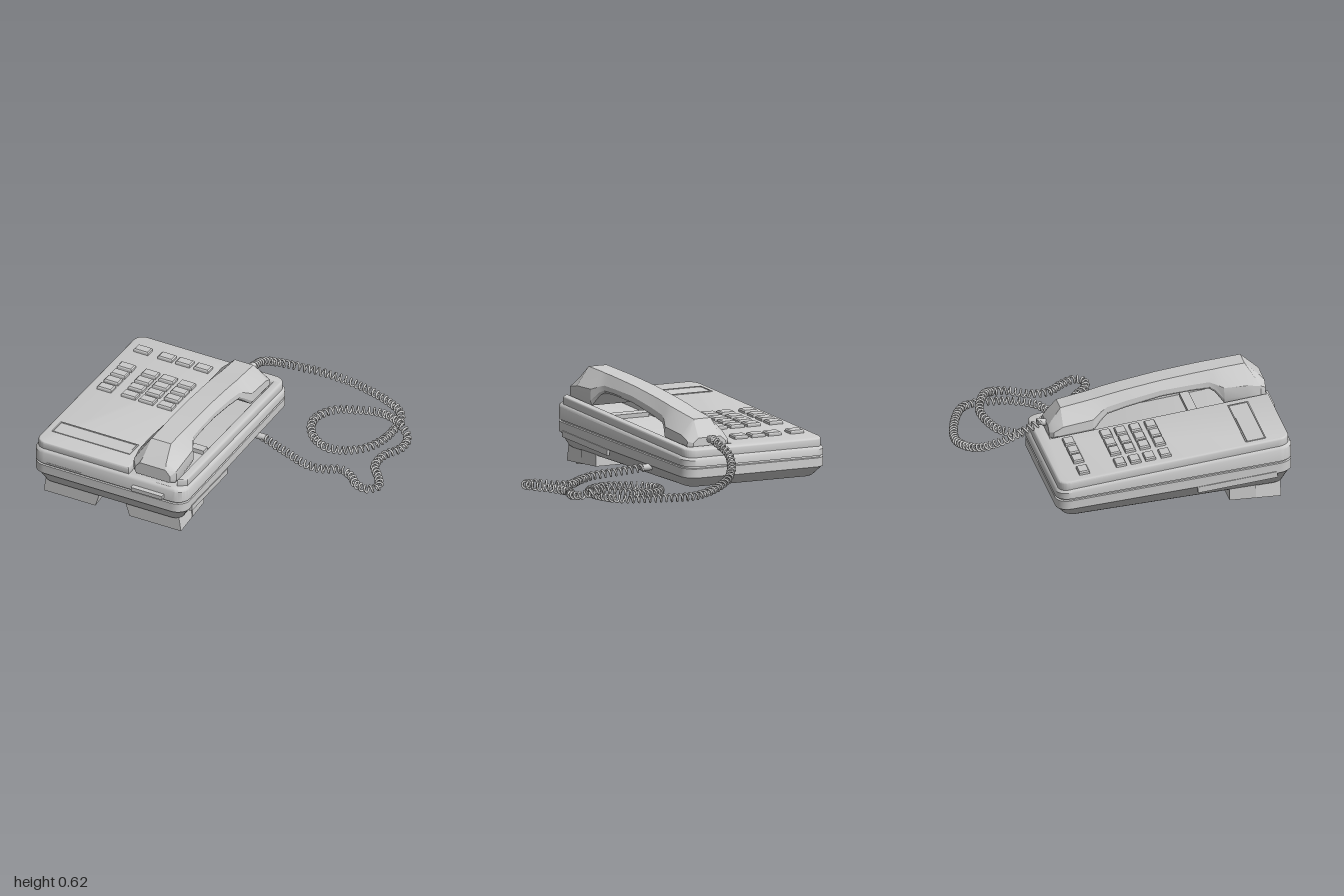
import * as THREE from 'three';
import { toCreasedNormals } from 'three/addons/utils/BufferGeometryUtils.js';

const SLOPE = 0.127;
const topY = (z) => 0.327 + SLOPE * z; // sloping top surface
const TILT = -Math.atan(SLOPE);
const CX = -0.45, CZ = 0.19; // centre of the body
const HX = -0.145; // centre line of the handset

export function createModel() {
  const model = new THREE.Group();
  const mat = new THREE.MeshStandardMaterial({ color: 0xcccccc });

  function add(name, geo, x = 0, y = 0, z = 0, rx = 0) {
    const mesh = new THREE.Mesh(geo, mat);
    mesh.name = name;
    mesh.position.set(x, y, z);
    mesh.rotation.x = rx;
    model.add(mesh);
    return mesh;
  }
  const box = (name, w, h, d, x, y, z, rx = 0) => add(name, new THREE.BoxGeometry(w, h, d), x, y, z, rx);

  // Skin over equal-sized rings, with flat caps at both ends
  function loft(rings, crease = 0.6) {
    const n = rings[0].length, idx = [];
    rings.slice(1).forEach((_, i) => {
      for (let j = 0; j < n; j++) {
        const a = i * n + j, b = i * n + (j + 1) % n;
        idx.push(a, b, b + n, a, b + n, a + n);
      }
    });
    const last = (rings.length - 1) * n;
    for (let j = 1; j < n - 1; j++) idx.push(0, j + 1, j, last, last + j, last + j + 1);
    const geo = new THREE.BufferGeometry();
    geo.setAttribute('position', new THREE.Float32BufferAttribute(rings.flat(2), 3));
    geo.setIndex(idx);
    return toCreasedNormals(geo, crease);
  }

  // Body shell: rounded rectangles, sloping from front to back
  function bodyRing([inset, yFront, yBack]) {
    const r = 0.09 - inset * 0.5, hx = 0.54 - inset - r, hz = 0.765 - inset - r, pts = [];
    [[1, 1], [1, -1], [-1, -1], [-1, 1]].forEach(([sx, sz], q) => {
      for (let k = 0; k <= 6; k++) {
        const a = (q + k / 6) * Math.PI / 2;
        const x = CX + sx * hx + r * Math.sin(a), z = CZ + sz * hz + r * Math.cos(a);
        pts.push([x, THREE.MathUtils.lerp(yBack, yFront, (z + 0.575) / 1.53), z]);
      }
    });
    return pts;
  }
  add('body', loft([
    [0.07, 0.115, 0.005], [0.055, 0.125, 0.015], [0.012, 0.205, 0.065], [0, 0.215, 0.075],
    [0, 0.28, 0.132], [0.012, 0.282, 0.134], [0.012, 0.292, 0.144], [0, 0.294, 0.146],
    [0, 0.375, 0.185], [0.008, 0.39, 0.197], [0.02, 0.398, 0.204],
  ].map(bodyRing)));

  // Raised top panel, with a handset well that is open at the front
  const s = new THREE.Shape(), L = -0.962, R = 0.062, B = 0.547, F = -0.922, r = 0.06;
  s.moveTo(L + r, F).lineTo(-0.322, F).lineTo(-0.322, 0.492).lineTo(0.027, 0.492).lineTo(0.027, F + 0.03);
  s.lineTo(R, F + 0.06).lineTo(R, B - r);
  s.absarc(R - r, B - r, r, 0, Math.PI / 2).absarc(L + r, B - r, r, Math.PI / 2, Math.PI);
  s.absarc(L + r, F + r, r, Math.PI, Math.PI * 1.5);
  const panel = new THREE.ExtrudeGeometry(s, {
    depth: 0.045, bevelThickness: 0.012, bevelSize: 0.012, bevelSegments: 3, curveSegments: 8,
  }).rotateX(-Math.PI / 2);
  const pp = panel.attributes.position;
  for (let i = 0; i < pp.count; i++) pp.setY(i, pp.getY(i) - 0.057 + topY(pp.getZ(i)));
  add('topPanel', toCreasedNormals(panel, 0.6));

  // Push buttons: a narrower top on a square base
  const button = loft([[1, -0.01], [1, 0.014], [0.86, 0.022]].map(([k, y]) =>
    [[-1, 1], [1, 1], [1, -1], [-1, -1]].map(([x, z]) => [x * 0.051 * k, y, z * 0.034 * k])), 0.2);
  for (const z of [-0.385, -0.145, -0.05, 0.045, 0.145])
    for (const x of [-0.855, -0.685, -0.56, -0.43]) add('button', button, x, topY(z), z, TILT);

  // Label window with a thin frame
  const lz = 0.722, ly = topY(lz);
  box('labelWindow', 0.53, 0.004, 0.11, -0.65, ly, lz, TILT);
  for (const d of [-0.062, 0.062]) box('labelFrame', 0.55, 0.01, 0.008, -0.65, ly + d * SLOPE, lz + d, TILT);
  for (const d of [-0.272, 0.272]) box('labelFrame', 0.008, 0.01, 0.13, -0.65 + d, ly, lz, TILT);

  // Handset hook, front tab and front slot
  box('cradleHook', 0.28, 0.035, 0.06, HX, topY(0.45) - 0.04, 0.45, TILT);
  box('frontTab', 0.22, 0.028, 0.06, -0.16, 0.323, 0.955);
  box('frontSlot', 0.24, 0.012, 0.01, -0.755, 0.302, 0.952);

  // Long raised strips low on both sides
  for (const x of [0.085, -0.985]) box('sideStrip', 0.02, 0.04, 0.52, x, 0.168, 0.59, -0.115);

  // Stand under the front, with a notch in its front edge
  box('standRear', 0.97, 0.1, 0.17, CX, 0.068, 0.635);
  for (const side of [-1, 1]) {
    const foot = new THREE.Shape();
    foot.moveTo(side * 0.12, 0.018).lineTo(side * 0.485, 0.018);
    foot.lineTo(side * 0.47, 0.125).lineTo(side * 0.09, 0.125).closePath();
    add('standFront', new THREE.ExtrudeGeometry(foot, { depth: 0.165, bevelEnabled: false }), CX, 0, 0.718);
    add('rubberFoot', new THREE.CylinderGeometry(0.03, 0.025, 0.025, 16), CX + side * 0.42, 0.0125, 0.83);
  }

  // Handset: [z, bottom, middle, top, half width, half width of the top face]
  const sections = [
    [-0.48, 0.25, 0.285, 0.315, 0.125, 0.085], [-0.455, 0.25, 0.295, 0.35, 0.155, 0.08],
    [-0.395, 0.255, 0.33, 0.425, 0.16, 0.065], [-0.2, 0.275, 0.36, 0.464, 0.155, 0.067],
    [-0.14, 0.335, 0.40, 0.478, 0.125, 0.07], [-0.1, 0.37, 0.42, 0.488, 0.112, 0.07],
    [0.02, 0.403, 0.45, 0.513, 0.108, 0.07], [0.25, 0.457, 0.50, 0.555, 0.108, 0.07],
    [0.45, 0.478, 0.52, 0.583, 0.108, 0.07], [0.56, 0.484, 0.53, 0.597, 0.112, 0.07],
    [0.595, 0.465, 0.52, 0.60, 0.125, 0.07], [0.65, 0.395, 0.50, 0.607, 0.155, 0.068],
    [0.8, 0.395, 0.505, 0.623, 0.16, 0.068], [0.89, 0.40, 0.49, 0.54, 0.153, 0.08],
    [0.925, 0.415, 0.465, 0.505, 0.125, 0.09],
  ];
  add('handset', loft(sections.map(([z, b, m, t, w, tw]) => [
    [-w * 0.93, b], [w * 0.93, b], [w, b + (m - b) * 0.3], [w * 0.98, m],
    [tw, t], [-tw, t], [-w * 0.98, m], [-w, b + (m - b) * 0.3],
  ].map(([x, y]) => [HX + x, y, z])), 0.4));

  // Coiled cord: a helix around a curve, from the handset to the side of the body
  const path = new THREE.CatmullRomCurve3([
    [-0.145, 0.31, -0.51], [-0.15, 0.22, -0.7], [-0.03, 0.11, -0.87], [0.25, 0.035, -0.97],
    [0.55, 0.03, -0.92], [0.75, 0.03, -0.82], [0.79, 0.03, -0.7], [0.77, 0.03, -0.5],
    [0.68, 0.03, -0.36], [0.5, 0.03, -0.29], [0.35, 0.03, -0.37], [0.29, 0.03, -0.52],
    [0.36, 0.03, -0.66], [0.5, 0.035, -0.72], [0.64, 0.05, -0.74], [0.8, 0.075, -0.68],
    [0.91, 0.04, -0.6], [0.92, 0.03, -0.5], [0.85, 0.03, -0.37], [0.85, 0.03, -0.25],
    [0.93, 0.04, -0.14], [0.97, 0.045, -0.05], [0.92, 0.045, 0], [0.83, 0.04, -0.02],
    [0.77, 0.035, -0.08], [0.68, 0.035, -0.12], [0.57, 0.045, -0.06], [0.47, 0.06, -0.04],
    [0.3, 0.08, -0.08], [0.12, 0.1, -0.13],
  ].map((p) => new THREE.Vector3(...p)));
  path.arcLengthDivisions = 1000;
  const turns = Math.round(path.getLength() / 0.036);
  class Coil extends THREE.Curve {
    getPoint(t, target = new THREE.Vector3()) {
      const tangent = path.getTangentAt(t);
      const side = new THREE.Vector3(0, 1, 0).cross(tangent).normalize();
      const up = tangent.cross(side), a = t * turns * Math.PI * 2;
      return target.copy(path.getPointAt(t))
        .addScaledVector(side, Math.cos(a) * 0.022).addScaledVector(up, Math.sin(a) * 0.022);
    }
  }
  const coil = new Coil();
  coil.arcLengthDivisions = turns * 16;
  add('coiledCord', new THREE.TubeGeometry(coil, turns * 14, 0.0075, 6));

  // Plugs at both ends of the cord
  const plug = new THREE.CylinderGeometry(0.022, 0.022, 0.07, 12);
  add('handsetPlug', plug, HX, 0.305, -0.495, Math.PI / 2 + 0.2);
  add('bodyPlug', plug, 0.105, 0.1, -0.13).rotation.z = Math.PI / 2;

  return model;
}
